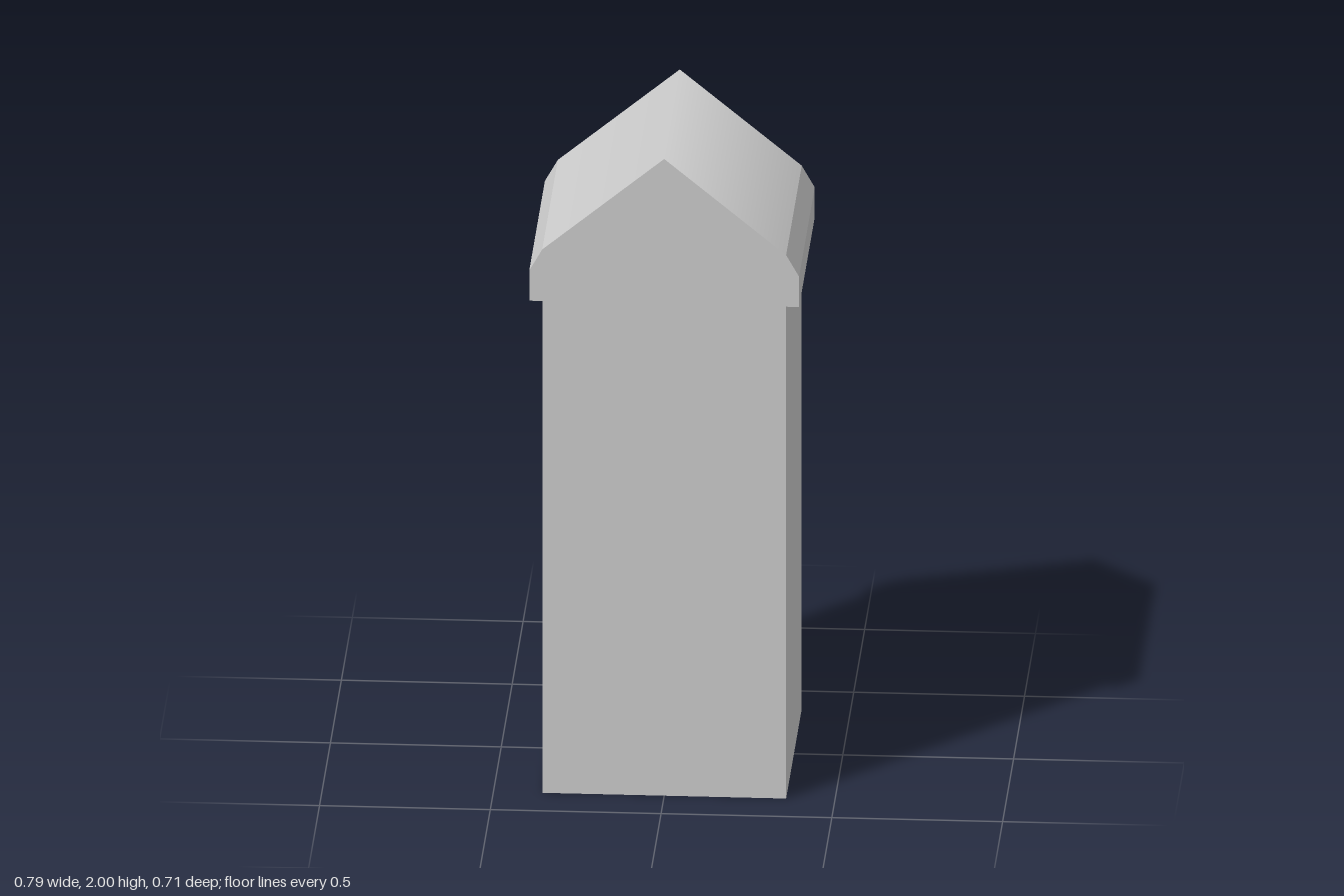
import * as THREE from 'three';

const DEPTH = 0.714;
const RIDGE = 2;

// Right half of the gabled cross-section, from the base up to the eave
const HALF = [
  [0.357, 0],      // foot of the wall
  [0.357, 1.545],  // top of the wall, under the overhang
  [0.395, 1.545],  // lower lip of the overhang
  [0.395, 1.64],   // start of the bevel
  [0.357, 1.707],  // eave
];

export function createModel() {
  const group = new THREE.Group();
  group.name = 'gabledTower';

  // Mirror the half profile about the ridge
  const left = HALF.map(([x, y]) => [-x, y]).reverse();
  const outline = [...HALF, [0, RIDGE], ...left];
  const shape = new THREE.Shape(outline.map(([x, y]) => new THREE.Vector2(x, y)));

  const geometry = new THREE.ExtrudeGeometry(shape, { depth: DEPTH, bevelEnabled: false });
  geometry.translate(0, 0, -DEPTH / 2);

  // Shade the two roof slopes smoothly across the ridge
  const { position, normal } = geometry.attributes;
  for (let i = 0; i < position.count; i++) {
    const onRidge = position.getY(i) > RIDGE - 0.001;
    const onGable = Math.abs(normal.getZ(i)) > 0.5;
    if (onRidge && !onGable) normal.setXYZ(i, 0, 1, 0);
  }

  // Walls and overhanging roof form one solid
  const tower = new THREE.Mesh(geometry, new THREE.MeshStandardMaterial({ color: 0xcccccc }));
  tower.name = 'wallsAndRoof';
  group.add(tower);

  return group;
}
